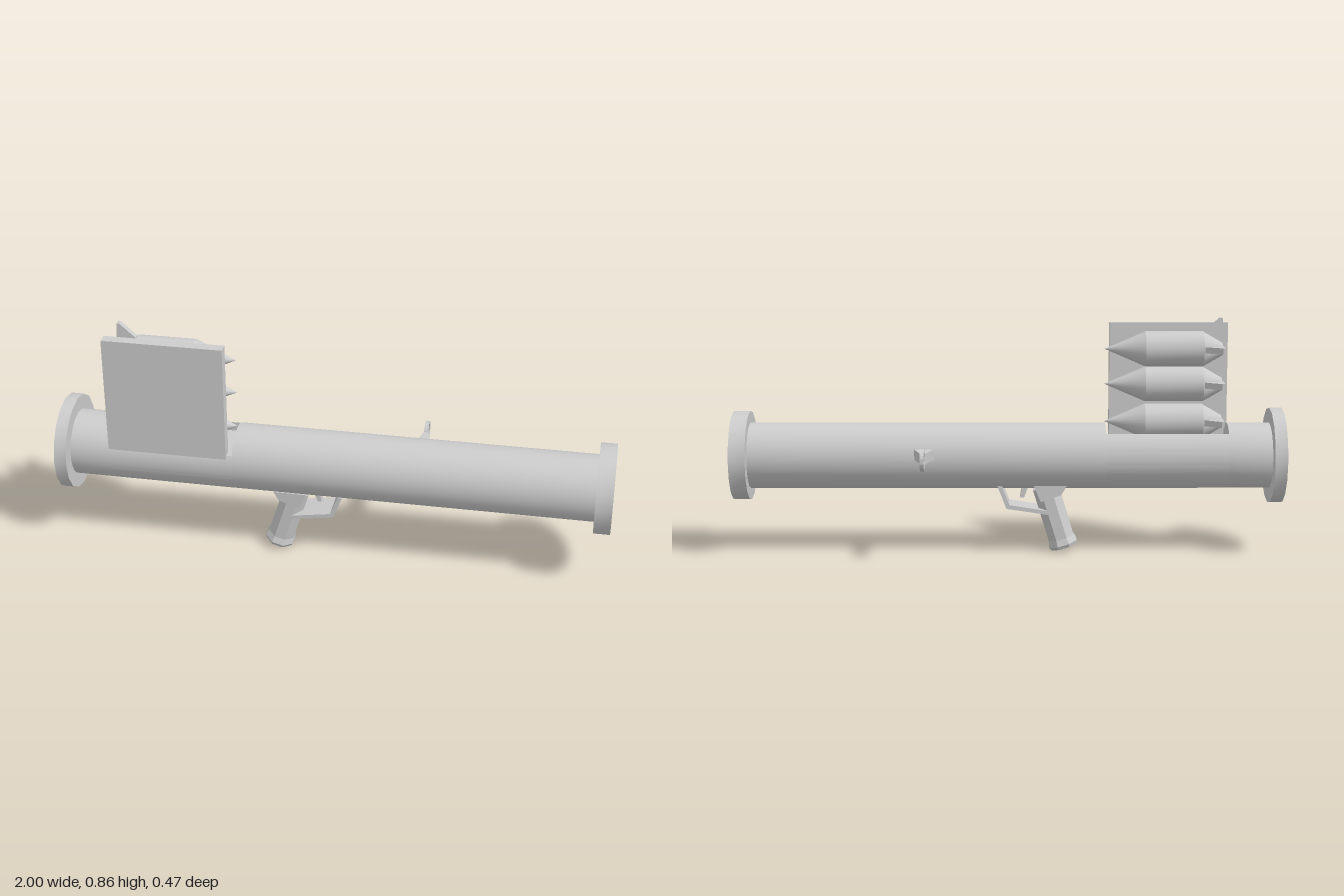
import * as THREE from 'three';
import { toCreasedNormals } from 'three/addons/utils/BufferGeometryUtils.js';

const CY = 0.355, CZ = 0.062, R = 0.12; // tube axis and radius

export function createModel() {
  const root = new THREE.Group();
  const mat = new THREE.MeshStandardMaterial({ color: 0xcccccc });

  const add = (name, geo, parent = root, crease = 0.6) => {
    const mesh = new THREE.Mesh(toCreasedNormals(geo, crease), mat);
    mesh.name = name;
    parent.add(mesh);
    return mesh;
  };
  const poly = (pts) => new THREE.Shape(pts.map(([x, y]) => new THREE.Vector2(x, y)));
  const extrude = (shape, depth) =>
    new THREE.ExtrudeGeometry(shape, { depth, bevelEnabled: false, curveSegments: 32 });
  // Extrude a cross-section (drawn in -z, y) along x
  const alongX = (shape, x0, x1) =>
    extrude(shape, x1 - x0).rotateY(Math.PI / 2).translate(x0, CY, CZ);

  // Barrel: two round lengths and a notched length under the rocket rack
  const barrel = new THREE.Group();
  barrel.name = 'barrel';
  root.add(barrel);
  const X0 = -0.8, X1 = -0.355;
  for (const [a, b] of [[-0.955, X0], [X1, 0.94]]) {
    add('barrelTube', new THREE.CylinderGeometry(R, R, b - a, 40)
      .rotateZ(-Math.PI / 2).translate((a + b) / 2, CY, CZ), barrel);
  }
  const floorY = 0.055, wall = 0.08;
  const notch = new THREE.Shape();
  notch.moveTo(wall, floorY);
  notch.lineTo(wall, Math.sqrt(R * R - wall * wall));
  notch.absarc(0, 0, R, Math.acos(wall / R), Math.PI - Math.asin(floorY / R), true);
  notch.closePath();
  add('notchedBarrel', alongX(notch, X0, X1), barrel);

  // End collars, sixteen-sided outside and round inside
  for (const [name, a, b, r] of [['rearCollar', -1, -0.955, 0.175], ['muzzleCollar', 0.94, 1, 0.163]]) {
    const ring = poly(Array.from({ length: 16 }, (_, i) => {
      const t = (i / 16) * Math.PI * 2;
      return [r * Math.cos(t), r * Math.sin(t)];
    }));
    ring.holes.push(new THREE.Path().absarc(0, 0, R, 0, Math.PI * 2, true));
    add(name, alongX(ring, a, b));
  }

  // Rack panel
  add('rackPanel', new THREE.BoxGeometry(0.435, 0.435, 0.04).translate(-0.592, 0.617, 0.16));

  // Three finned rockets
  const profile = [[0, -0.78], [0.025, -0.78], [0.064, -0.71], [0.064, -0.5], [0, -0.352]]
    .map(([x, y]) => new THREE.Vector2(x, y));
  for (const y of [0.745, 0.617, 0.48]) {
    const rocket = new THREE.Group();
    rocket.name = 'rocket';
    rocket.position.set(0, y, 0.07);
    root.add(rocket);
    add('rocketBody', new THREE.LatheGeometry(profile, 28).rotateZ(-Math.PI / 2), rocket, 0.4);
    for (let i = 0; i < 4; i++) {
      const span = i === 1 ? 0.09 : 0.113; // fin beside the panel is shorter
      const fin = poly([[-0.785, 0], [-0.71, 0], [-0.71, 0.06], [-0.77, span], [-0.78, span]]);
      add('rocketFin', extrude(fin, 0.022).translate(0, 0, -0.011).rotateX(i * Math.PI / 2), rocket);
    }
  }

  // Grip: flared octagonal handle leaning back, with a mounting block
  const gripProfile = [[0, 0], [0.95, 0], [1.06, 0.012], [0.94, 0.035], [0.94, 0.235], [0, 0.235]]
    .map(([x, y]) => new THREE.Vector2(x, y));
  add('grip', new THREE.LatheGeometry(gripProfile, 8).rotateY(Math.PI / 8)
    .scale(0.054, 1, 0.062).rotateZ(-0.3).translate(-0.207, 0.016, 0.065), root, 0.2);
  const block = poly([[-0.215, 0.25], [-0.195, 0.215], [-0.12, 0.19], [-0.095, 0.25]]);
  add('gripMount', extrude(block, 0.12).translate(0, 0, 0.005));

  // Wide trigger guard and the trigger inside it
  const guard = poly([[-0.15, 0.142], [0.005, 0.165], [0.038, 0.25], [0.022, 0.25], [-0.006, 0.179], [-0.15, 0.156]]);
  add('triggerGuard', extrude(guard, 0.12).translate(0, 0, 0.005));
  const trigger = poly([[-0.08, 0.25], [-0.06, 0.2], [-0.045, 0.2], [-0.05, 0.225], [-0.058, 0.25]]);
  add('trigger', extrude(trigger, 0.03).translate(0, 0, 0.05));

  // Sight: tapered arm, ring and four cross hairs
  const arm = poly([[0.264, -0.05], [0.338, -0.05], [0.308, -0.165], [0.294, -0.165]]);
  add('sightArm', extrude(arm, 0.037).rotateX(Math.PI / 2).translate(0, 0.393, 0));
  const sight = new THREE.Group();
  sight.name = 'sight';
  sight.position.set(0.301, 0.377, -0.198);
  root.add(sight);
  const hoop = new THREE.Shape().absarc(0, 0, 0.039, 0, Math.PI * 2);
  hoop.holes.push(new THREE.Path().absarc(0, 0, 0.028, 0, Math.PI * 2, true));
  add('sightRing', extrude(hoop, 0.014).translate(0, 0, -0.007).rotateY(Math.PI / 2), sight);
  for (let i = 0; i < 4; i++) {
    add('crossHair', new THREE.BoxGeometry(0.008, 0.022, 0.008)
      .translate(0, 0.02, 0).rotateX(i * Math.PI / 2), sight);
  }

  return root;
}
